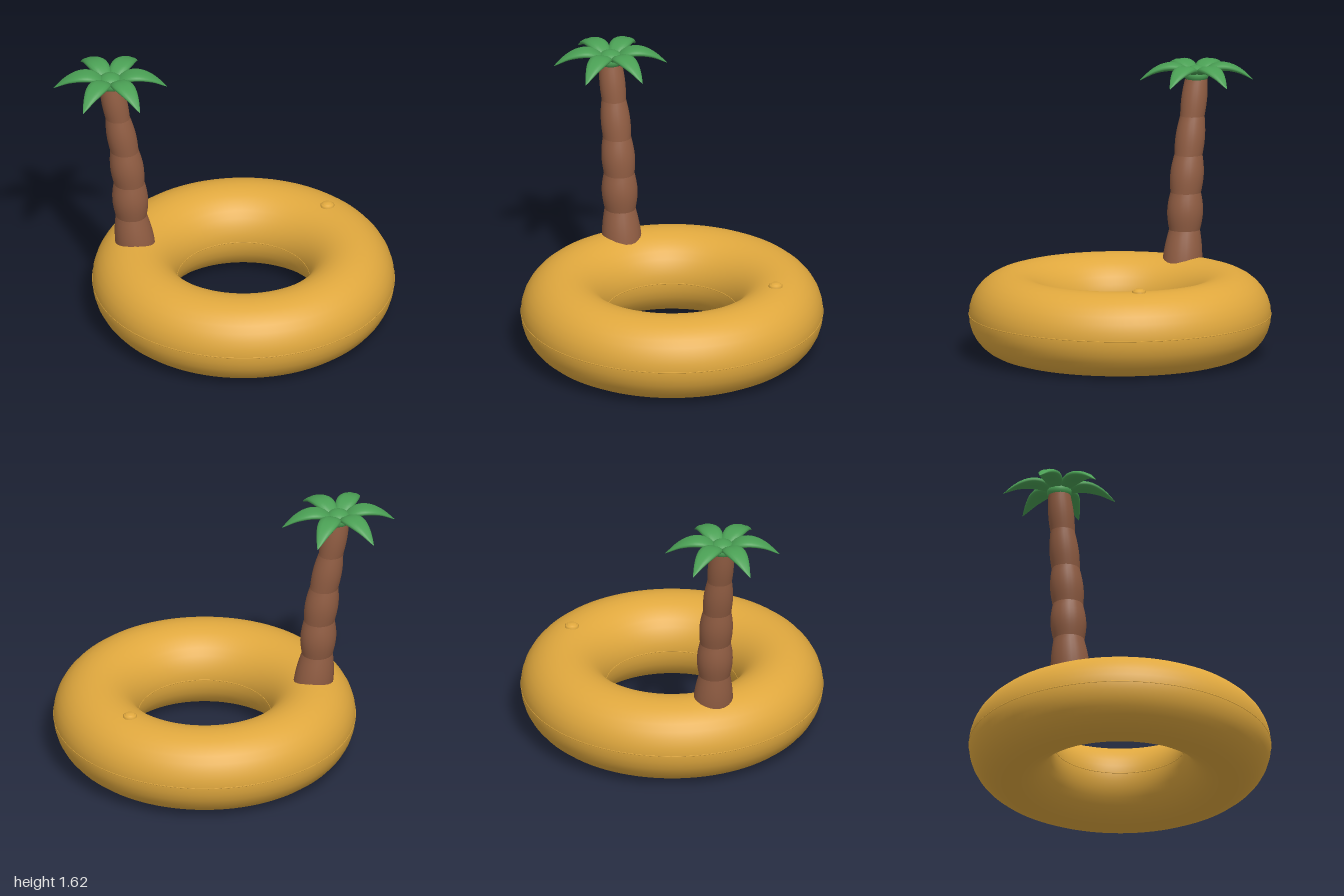
import * as THREE from 'three';

const yellow = new THREE.MeshStandardMaterial({ color: 0xe0a83e });
yellow.name = 'yellow vinyl';
const brown = new THREE.MeshStandardMaterial({ color: 0x8f5c42 });
brown.name = 'trunk brown';
const green = new THREE.MeshStandardMaterial({ color: 0x4a9f54 });
green.name = 'leaf green';

function add(parent, name, geometry, material, x = 0, y = 0, z = 0) {
  const mesh = new THREE.Mesh(geometry, material);
  mesh.name = name;
  mesh.position.set(x, y, z);
  parent.add(mesh);
  return mesh;
}

// Smooth closed surface through rings of points; point(i, angle) returns [x, y, z]
function loft(rings, sides, point) {
  const pos = [], index = [];
  for (let i = 0; i < rings; i++) {
    for (let j = 0; j < sides; j++) pos.push(...point(i, (j / sides) * Math.PI * 2));
  }
  for (let i = 0; i < rings - 1; i++) {
    for (let j = 0; j < sides; j++) {
      const k = (j + 1) % sides;
      const a = i * sides + j, b = i * sides + k;
      index.push(a, a + sides, b, b, a + sides, b + sides);
    }
  }
  const g = new THREE.BufferGeometry();
  g.setAttribute('position', new THREE.Float32BufferAttribute(pos, 3));
  g.setIndex(index);
  g.computeVertexNormals();
  return g;
}

// One inflated trunk segment between two pinched rings [x, y, radius]
function trunkSegment([x0, y0, r0], [x1, y1, r1], bulge) {
  const steps = 8;
  return loft(steps + 1, 24, (i, a) => {
    const t = i / steps;
    const r = r0 + (r1 - r0) * t + bulge * Math.sin(Math.PI * t);
    return [x0 + (x1 - x0) * t + r * Math.cos(a), y0 + (y1 - y0) * t, r * Math.sin(a)];
  });
}

// Drooping padded leaf pointing along +x, with a soft midrib groove
function leafGeometry() {
  const spine = new THREE.CatmullRomCurve3([
    [0.03, -0.045], [0.1, -0.006], [0.17, 0], [0.25, -0.025], [0.335, -0.082],
  ].map(([x, y]) => new THREE.Vector3(x, y, 0)));
  const steps = 16;
  return loft(steps + 1, 16, (i, a) => {
    const t = i / steps;
    const p = spine.getPoint(t), d = spine.getTangent(t);
    const s = Math.pow(Math.sin(Math.PI * (0.1 + 0.9 * Math.pow(t, 0.9))), 0.9) || 0;
    const w = 0.062 * Math.max(s, 0.001);
    const groove = Math.abs(Math.sin(a)) < 0.01 ? 0.86 : 1;
    const h = 0.025 * Math.max(s, 0.001) * Math.cos(a) * groove;
    return [p.x - d.y * h, p.y + d.x * h, -w * Math.sin(a)];
  });
}

export function createModel() {
  const model = new THREE.Group();
  model.name = 'palmTreeSwimRing';

  // Inflated ring with its welded seams
  const ring = new THREE.Group();
  ring.name = 'swimRing';
  ring.position.set(0.11, 0.249, 0);
  model.add(ring);
  const tube = add(ring, 'ringTube', new THREE.TorusGeometry(0.637, 0.248, 32, 96), yellow);
  tube.rotation.x = Math.PI / 2;
  for (const [name, r] of [['outerSeam', 0.884], ['innerSeam', 0.39]]) {
    add(ring, name, new THREE.TorusGeometry(r, 0.003, 6, 96), yellow).rotation.x = Math.PI / 2;
  }

  // Air valve
  const valveProfile = [[0.041, -0.02], [0.041, 0.006], [0.034, 0.012], [0.026, 0.012], [0.024, 0.019], [0, 0.021]]
    .map(([r, y]) => new THREE.Vector2(r, y));
  add(model, 'airValve', new THREE.LatheGeometry(valveProfile, 24), yellow, 0.56, 0.495, -0.45);

  // Leaning trunk, pinched between segments
  const trunk = new THREE.Group();
  trunk.name = 'trunk';
  model.add(trunk);
  const pinches = [
    [-0.522, 0.42, 0.118], [-0.55, 0.65, 0.091], [-0.562, 0.87, 0.09],
    [-0.59, 1.09, 0.083], [-0.63, 1.315, 0.072], [-0.67, 1.53, 0.066],
  ];
  const bulges = [0.007, 0.015, 0.012, 0.009, 0.007];
  bulges.forEach((b, i) => {
    add(trunk, 'trunkSegment' + (i + 1), trunkSegment(pinches[i], pinches[i + 1], b), brown);
  });

  // Crown of six leaves round a hub
  const crown = new THREE.Group();
  crown.name = 'crown';
  crown.position.set(-0.673, 1.6, 0);
  model.add(crown);
  const hub = add(crown, 'crownHub', new THREE.SphereGeometry(0.073, 24, 16), green, 0, -0.045, 0);
  hub.scale.y = 0.72;
  const leaf = leafGeometry();
  for (let k = 0; k < 6; k++) {
    add(crown, 'leaf' + (k + 1), leaf, green).rotation.y = THREE.MathUtils.degToRad(7 + 60 * k);
  }
  return model;
}
